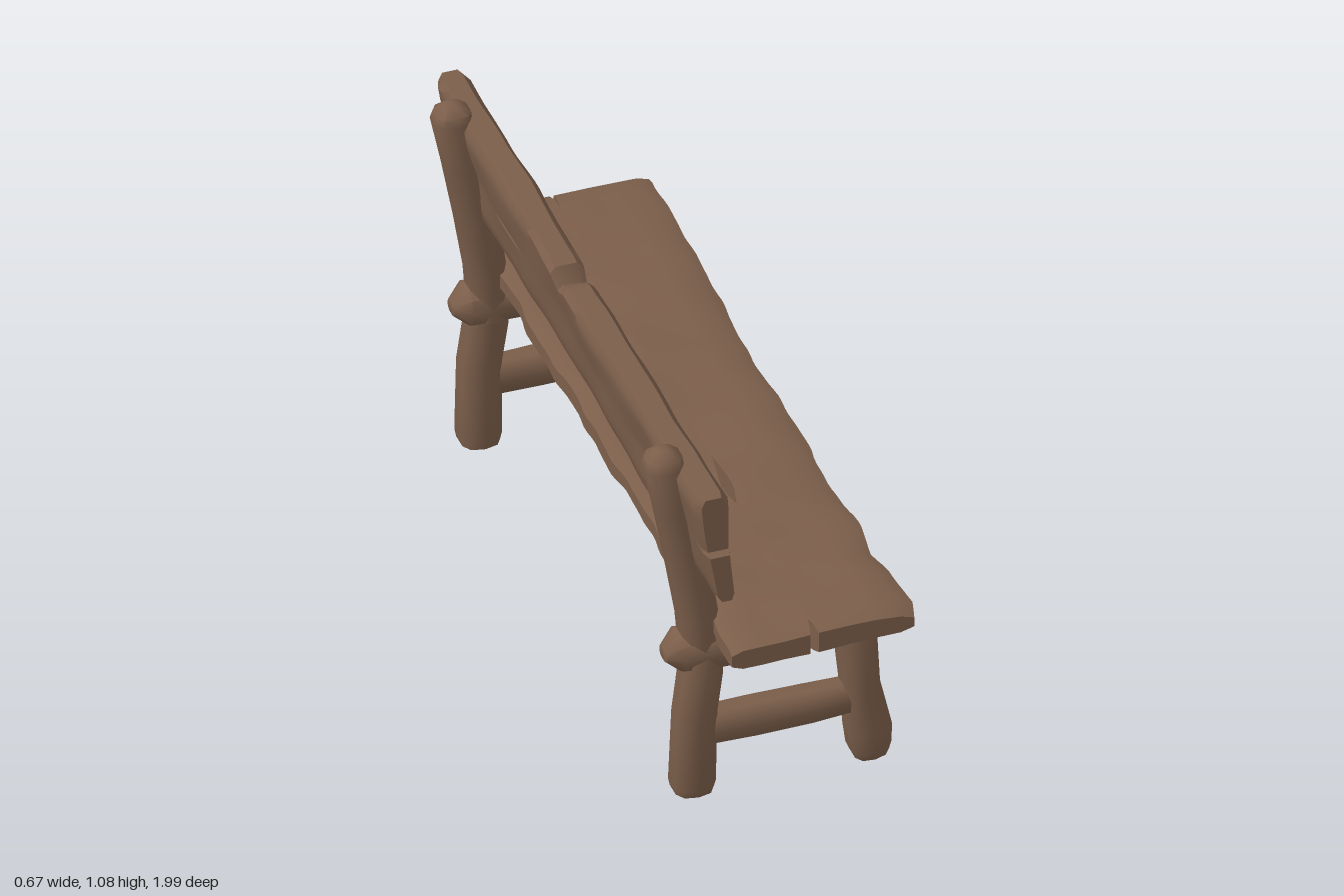
import * as THREE from 'three';
import { toCreasedNormals } from 'three/addons/utils/BufferGeometryUtils.js';

const wood = new THREE.MeshStandardMaterial({ color: 0x7b5e4a });
wood.name = 'weathered brown wood';

// Closed skin over a row of rings, capped at both ends, always facing outwards
function loft(rings, crease) {
  const n = rings[0].length, pos = [], idx = [];
  rings.forEach(r => r.forEach(p => pos.push(p.x, p.y, p.z)));
  for (let i = 0; i < rings.length - 1; i++) {
    for (let j = 0; j < n; j++) {
      const a = i * n + j, b = i * n + (j + 1) % n;
      idx.push(a, b, a + n, b, b + n, a + n);
    }
  }
  [0, rings.length - 1].forEach((k, end) => {
    const c = new THREE.Vector3();
    rings[k].forEach(p => c.addScaledVector(p, 1 / n));
    const ci = pos.length / 3;
    pos.push(c.x, c.y, c.z);
    for (let j = 0; j < n; j++) {
      const a = k * n + j, b = k * n + (j + 1) % n;
      idx.push(ci, end ? a : b, end ? b : a);
    }
  });
  // Signed volume tells whether the winding has to be turned round
  const v = i => new THREE.Vector3().fromArray(pos, i * 3);
  let volume = 0;
  for (let i = 0; i < idx.length; i += 3) volume += v(idx[i]).dot(v(idx[i + 1]).cross(v(idx[i + 2])));
  if (volume < 0) idx.reverse();
  const g = new THREE.BufferGeometry();
  g.setAttribute('position', new THREE.Float32BufferAttribute(pos, 3));
  g.setIndex(idx);
  return toCreasedNormals(g, crease);
}

function mesh(name, geometry) {
  const m = new THREE.Mesh(geometry, wood);
  m.name = name;
  return m;
}

// Rough log; each section is [position along axis, low, high, z low, z high, tilt]
function log(name, sections, axis, side) {
  const rings = sections.map(([p, a0, a1, z0, z1, tilt = 0]) => Array.from({ length: 10 }, (_, j) => {
    const t = (j + 0.5) / 10 * Math.PI * 2;
    const round = k => Math.sign(k) * Math.abs(k) ** 0.75;
    const c = round(Math.cos(t)), s = round(Math.sin(t));
    const a = (a0 + a1) / 2 + c * (a1 - a0) / 2 * 1.02;
    const z = side * ((z0 + z1) / 2 + s * (z1 - z0) / 2);
    const along = p + c * tilt;
    return axis === 'y' ? new THREE.Vector3(a, along, z) : new THREE.Vector3(along, a, z);
  }));
  return mesh(name, loft(rings, 0.9));
}

// Value at z along a short list of [z, value] points
function at(points, z) {
  if (z <= points[0][0]) return points[0][1];
  for (let i = 1; i < points.length; i++) {
    const [z0, v0] = points[i - 1], [z1, v1] = points[i];
    if (z <= z1) return v0 + (v1 - v0) * (z - z0) / (z1 - z0);
  }
  return points[points.length - 1][1];
}

const bump = (z, a) => Math.sin(z * 9 + a * 14) * 0.5 + Math.sin(z * 21 - a * 23 + 1) * 0.3 + Math.sin(z * 5 + a * 31) * 0.2;
const wobble = (z, k) => Math.sin(z * 13 + k) * 0.5 + Math.sin(z * 31 + k * 2) * 0.35 + Math.sin(z * 57 + k) * 0.15;

// Half a split plank: square along the seam, worn along the outer edge
function halfPlank(name, { seam, outer, zMin, zMax, half, place }) {
  const steps = 72, rings = [];
  const S = [0, 0.12, 0.35, 0.6, 0.86, 1], T = [1, 1, 1, 1, 0.93, 0.55];
  for (let i = 0; i <= steps; i++) {
    const z = zMin + (zMax - zMin) * i / steps;
    const a = seam(z), b = outer(z);
    const end = i === 0 || i === steps ? 0.75 : 1;
    const pt = (k, dir) => {
      const across = a + (b - a) * S[k];
      const t = dir * half(across, z) * T[k] * end + 0.005 * bump(z + dir * 0.4, across);
      return place(across, t, z);
    };
    rings.push([...S.map((_, k) => pt(k, 1)), ...S.map((_, k) => pt(S.length - 1 - k, -1))]);
  }
  return mesh(name, loft(rings, 0.7));
}

function createModel() {
  const bench = new THREE.Group();
  bench.name = 'rusticBench';

  // Seat: two halves of a plank with a split opening near one end
  const seatGap = z => at([[-1, 0.006], [-0.93, 0], [0.2, 0], [0.27, 0.009], [0.33, 0.015], [0.37, 0.011], [0.41, 0], [0.94, 0], [1, 0.012]], z);
  const seatSeam = z => 0.055 + 0.006 * Math.sin(z * 11);
  const seat = {
    zMin: -0.995, zMax: 0.995,
    half: () => 0.038,
    place: (a, t, z) => new THREE.Vector3(a, 0.529 + 0.012 * a + t, z)
  };
  const seatFront = [[-1, 0.32], [-0.7, 0.325], [-0.35, 0.31], [-0.05, 0.305], [0.25, 0.315], [0.4, 0.302], [0.6, 0.315], [0.72, 0.305], [0.8, 0.32], [0.94, 0.332], [1, 0.31]];
  bench.add(
    halfPlank('seatFrontHalf', { ...seat, seam: z => seatSeam(z) + seatGap(z), outer: z => at(seatFront, z) + 0.006 * wobble(z, 1) }),
    halfPlank('seatBackHalf', { ...seat, seam: z => seatSeam(z) - seatGap(z), outer: z => -0.172 + 0.008 * wobble(z, 4) })
  );

  // Backrest: leaning plank, split lengthwise, notched in its top edge and end
  const backGap = z => at([[-0.98, 0.018], [-0.93, 0.012], [-0.86, 0], [-0.6, 0], [-0.54, 0.008], [-0.46, 0.008], [-0.39, 0], [0.9, 0], [0.985, 0.008]], z);
  const backSeam = z => at([[-1, 0.875], [-0.6, 0.862], [-0.4, 0.868], [-0.1, 0.9], [0.2, 0.84], [0.6, 0.875], [1, 0.868]], z);
  const lean = y => -0.185 - (y - 0.715) * 0.115;
  const back = {
    half: y => 0.034 + Math.max(0, y - 0.87) * 0.1,
    place: (y, t, z) => new THREE.Vector3(lean(y) + t, y, z)
  };
  const backTop = [[-0.97, 1.04], [-0.75, 1.045], [-0.45, 1.042], [-0.13, 1.033], [-0.1, 1.028], [-0.08, 0.985], [-0.05, 0.995], [-0.015, 1.03], [0.3, 1.032], [0.6, 1.042], [0.98, 1.038]];
  const backBottom = [[-0.98, 0.715], [-0.6, 0.722], [-0.2, 0.735], [0.1, 0.728], [0.45, 0.722], [0.7, 0.718], [0.99, 0.72]];
  bench.add(
    halfPlank('backrestUpperHalf', { ...back, zMin: -0.97, zMax: 0.982, seam: z => backSeam(z) + backGap(z), outer: z => at(backTop, z) + 0.004 * wobble(z, 2) }),
    halfPlank('backrestLowerHalf', { ...back, zMin: -0.98, zMax: 0.99, seam: z => backSeam(z) - backGap(z), outer: z => at(backBottom, z) + 0.004 * wobble(z, 5) })
  );

  // End frames, mirrored
  for (const side of [1, -1]) {
    const frame = new THREE.Group();
    frame.name = side > 0 ? 'leftFrame' : 'rightFrame';
    frame.add(
      log('backLeg', [
        [0.008, -0.262, -0.158, 0.738, 0.848],
        [0.03, -0.266, -0.153, 0.734, 0.855],
        [0.25, -0.26, -0.15, 0.745, 0.855],
        [0.36, -0.245, -0.135, 0.74, 0.855],
        [0.46, -0.235, -0.13, 0.735, 0.845]
      ], 'y', side),
      log('frontLeg', [
        [0.006, 0.222, 0.312, 0.745, 0.845, 0.004],
        [0.03, 0.212, 0.32, 0.735, 0.855, 0.004],
        [0.09, 0.203, 0.322, 0.738, 0.855],
        [0.24, 0.19, 0.287, 0.745, 0.86],
        [0.36, 0.18, 0.283, 0.735, 0.855],
        [0.45, 0.165, 0.29, 0.73, 0.845]
      ], 'y', side),
      log('backPost', [
        [0.4, -0.235, -0.14, 0.735, 0.845],
        [0.55, -0.247, -0.143, 0.73, 0.845],
        [0.72, -0.275, -0.168, 0.728, 0.842],
        [0.9, -0.308, -0.205, 0.73, 0.842],
        [1.035, -0.336, -0.235, 0.735, 0.84],
        [1.06, -0.33, -0.238, 0.74, 0.83],
        [1.082, -0.305, -0.268, 0.765, 0.805]
      ], 'y', side),
      log('seatBeam', [
        [-0.285, 0.42, 0.455, 0.76, 0.815],
        [-0.245, 0.388, 0.497, 0.73, 0.845],
        [-0.16, 0.38, 0.495, 0.735, 0.85],
        [0, 0.375, 0.49, 0.735, 0.845],
        [0.18, 0.377, 0.492, 0.73, 0.85],
        [0.27, 0.385, 0.497, 0.72, 0.855],
        [0.318, 0.405, 0.495, 0.725, 0.85],
        [0.332, 0.435, 0.49, 0.75, 0.82]
      ], 'x', side),
      // Knotty stub on the inner side of the beam
      log('beamKnot', [
        [0.19, 0.43, 0.47, 0.72, 0.77],
        [0.235, 0.412, 0.492, 0.69, 0.79],
        [0.285, 0.412, 0.492, 0.688, 0.79],
        [0.315, 0.435, 0.475, 0.715, 0.77]
      ], 'x', side),
      log('stretcher', [
        [-0.2, 0.142, 0.243, 0.752, 0.84],
        [-0.05, 0.14, 0.245, 0.75, 0.845],
        [0.1, 0.142, 0.242, 0.75, 0.845],
        [0.24, 0.15, 0.24, 0.755, 0.84]
      ], 'x', side)
    );
    bench.add(frame);
  }
  return bench;
}

export { createModel };
